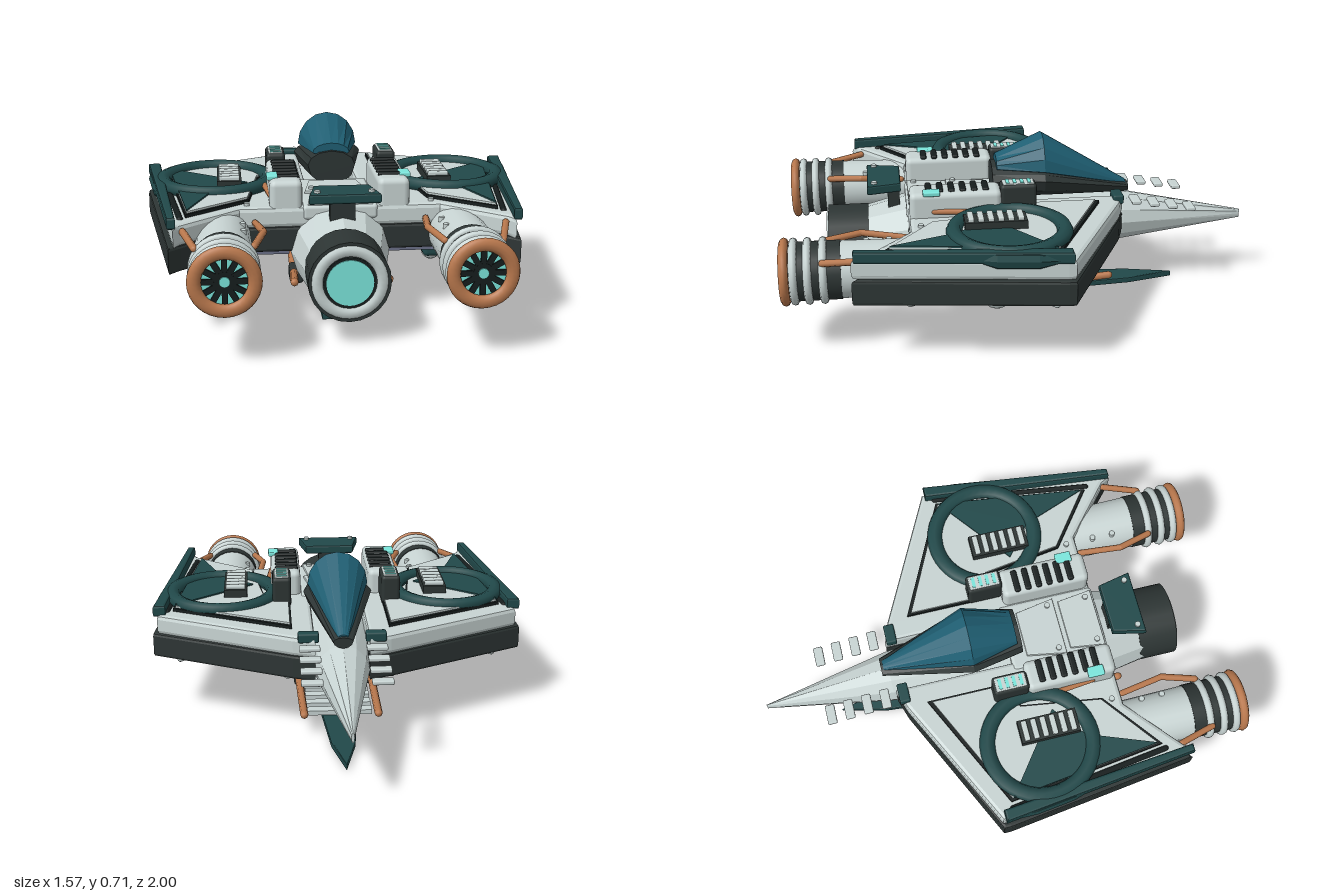
import * as THREE from 'three';
import { RoundedBoxGeometry } from 'three/addons/geometries/RoundedBoxGeometry.js';

const mat = (name, color) => {
  const m = new THREE.MeshStandardMaterial({ color });
  m.name = name;
  return m;
};

export function createModel() {
  const root = new THREE.Group();
  root.name = 'spacecraft';
  const light = mat('light grey hull', 0xc8d4d3), dark = mat('charcoal', 0x2d3534);
  const black = mat('black trim', 0x161d1d), teal = mat('dark teal', 0x21494a);
  const glass = mat('blue canopy', 0x1f5f73), copper = mat('copper', 0xb9784d);
  const cyan = mat('cyan glow', 0x7be6dc), slate = mat('slate underside', 0x6a7088);

  const add = (name, geo, m, x = 0, y = 0, z = 0) => {
    const mesh = new THREE.Mesh(geo, m);
    mesh.name = name;
    mesh.position.set(x, y, z);
    root.add(mesh);
    return mesh;
  };
  const box = (name, m, w, h, d, x, y, z) => add(name, new THREE.BoxGeometry(w, h, d), m, x, y, z);
  const rbox = (name, m, w, h, d, x, y, z, r = 0.015) =>
    add(name, new RoundedBoxGeometry(w, h, d, 2, r), m, x, y, z);
  const bolt = (x, y, z) => add('bolt', new THREE.CylinderGeometry(0.012, 0.012, 0.02, 10), light, x, y, z);
  // cylinder along z, r1 at the +z end
  const cyl = (name, m, r1, r0, z0, z1, x, y, n = 24) =>
    add(name, new THREE.CylinderGeometry(r1, r0, z1 - z0, n).rotateX(Math.PI / 2), m, x, y, (z0 + z1) / 2);
  // round bar through a list of points
  const rod = (name, m, r, pts) => {
    for (let i = 0; i + 1 < pts.length; i++) {
      const a = new THREE.Vector3(...pts[i]), b = new THREE.Vector3(...pts[i + 1]);
      const d = b.clone().sub(a), len = d.length();
      const mesh = add(name, new THREE.CapsuleGeometry(r, len, 3, 8), m);
      mesh.position.copy(a).add(b).multiplyScalar(0.5);
      mesh.quaternion.setFromUnitVectors(new THREE.Vector3(0, 1, 0), d.normalize());
    }
  };
  // horizontal plate from an [x, z] outline, between heights y0 and y1
  const plate = (name, m, pts, y0, y1, s = 1, bevel = 0) => {
    const shape = new THREE.Shape(pts.map(([x, z]) => new THREE.Vector2(x * s, -z)));
    const geo = new THREE.ExtrudeGeometry(shape, {
      depth: y1 - y0 - 2 * bevel, bevelEnabled: bevel > 0,
      bevelSize: bevel, bevelOffset: -bevel, bevelThickness: bevel, bevelSegments: 2
    });
    return add(name, geo.rotateX(-Math.PI / 2), m, 0, y0 + bevel, 0);
  };
  // faceted body through sections [z, centreY, halfWidth, up, down]
  const loft = (name, m, secs, n = 12) => {
    const pos = [], idx = [];
    for (const [z, cy, rx, up, dn] of secs)
      for (let j = 0; j < n; j++) {
        const a = (j / n) * Math.PI * 2, s = Math.sin(a);
        pos.push(Math.cos(a) * rx, cy + s * (s > 0 ? up : dn), z);
      }
    for (let i = 0; i + 1 < secs.length; i++)
      for (let j = 0; j < n; j++) {
        const a = i * n + j, b = i * n + (j + 1) % n;
        idx.push(a, b, b + n, a, b + n, a + n);
      }
    const e = (secs.length - 1) * n;
    for (let j = 1; j + 1 < n; j++) idx.push(0, j + 1, j, e, e + j, e + j + 1);
    const g = new THREE.BufferGeometry();
    g.setAttribute('position', new THREE.Float32BufferAttribute(pos, 3));
    g.setIndex(idx);
    const flat = g.toNonIndexed();
    flat.computeVertexNormals();
    return add(name, flat, m);
  };

  // fuselage, from nose tip to tail
  loft('fuselage', light, [[-1, 0.295, 0.006, 0.02, 0.02], [-0.45, 0.32, 0.11, 0.11, 0.11],
    [0.1, 0.3, 0.17, 0.155, 0.16], [0.47, 0.27, 0.2, 0.185, 0.175], [0.7, 0.255, 0.152, 0.14, 0.175]]);

  // main thruster
  cyl('thrusterCollar', dark, 0.158, 0.158, 0.65, 0.82, 0, 0.255);
  add('thrusterRing', new THREE.TorusGeometry(0.124, 0.03, 10, 32), light, 0, 0.255, 0.8);
  cyl('thrusterTrim', black, 0.1, 0.1, 0.8, 0.823, 0, 0.255, 32);
  cyl('thrusterGlow', cyan, 0.09, 0.09, 0.8, 0.827, 0, 0.255, 32);

  // cockpit
  loft('cockpitBase', dark, [[-0.48, 0.46, 0.04, 0.015, 0.03], [-0.1, 0.54, 0.145, 0.045, 0.1],
    [0.12, 0.53, 0.1, 0.06, 0.09]]);
  loft('canopy', glass, [[-0.47, 0.472, 0.022, 0.012, 0.008], [-0.1, 0.575, 0.127, 0.138, 0.01],
    [0.1, 0.58, 0.078, 0.04, 0.01]], 16);

  // spine deck panels with bolts
  rbox('spineDeck', light, 0.3, 0.06, 0.42, 0, 0.43, 0.28);
  for (const [z0, z1, w0, w1] of [[0.14, 0.31, 0.1, 0.13], [0.33, 0.48, 0.11, 0.13]]) {
    plate('spinePanel', light, [[-w0, z0], [w0, z0], [w1, z1], [-w1, z1]], 0.45, 0.472, 1, 0.005);
    for (const s of [-1, 1]) bolt(s * 0.1, 0.472, z1 - 0.03);
  }
  plate('tailFlap', teal, [[-0.11, 0.51], [0.11, 0.51], [0.14, 0.65], [-0.14, 0.65]], 0.51, 0.55, 1, 0.008);
  box('tailFlapMount', dark, 0.1, 0.1, 0.05, 0, 0.465, 0.54);

  // landing ski, belly pod and strut
  plate('ski', teal, [[0, -0.7], [0.05, -0.5], [0.08, -0.15], [0.08, 0.55], [-0.08, 0.55],
    [-0.08, -0.15], [-0.05, -0.5]], 0, 0.025, 1, 0.005);
  rbox('bellyPod', dark, 0.1, 0.08, 0.46, 0, 0.06, 0.32);
  rbox('skiStrut', dark, 0.06, 0.2, 0.09, 0, 0.11, -0.175);
  for (let i = 0; i < 5; i++) box('skiRung', light, 0.28, 0.02, 0.045, 0, 0.04, -0.23 + i * 0.08);

  const wing = [[0.11, -0.44], [0.2, -0.41], [0.785, -0.13], [0.785, -0.1], [0.675, 0.72], [0.63, 0.68],
    [0.4, 0.485], [0.11, 0.485]];
  const inner = [[0.2, -0.32], [0.7, -0.08], [0.61, 0.59], [0.36, 0.4], [0.31, 0.06], [0.2, 0.0]];
  const inset = [[0.208, -0.3], [0.69, -0.072], [0.605, 0.572], [0.366, 0.392], [0.316, 0.055], [0.208, -0.005]];
  const under = [[0.2, -0.3], [0.68, -0.08], [0.6, 0.55], [0.38, 0.42], [0.2, 0.42]];

  for (const s of [-1, 1]) {
    // wing layers
    plate('wingEdge', dark, wing, 0.27, 0.375, s, 0.012);
    plate('wingTop', light, wing.map(([x, z]) => [x - 0.02 * (x > 0.65), z]), 0.37, 0.455, s, 0.018);
    plate('wingInlayTrim', black, inner, 0.45, 0.468, s);
    plate('wingInlay', light, inset, 0.46, 0.476, s);
    plate('wingAccent', teal, [[0.69, -0.07], [0.36, 0.18], [0.5, 0.29], [0.605, 0.57]], 0.47, 0.482, s);
    plate('wingUnderside', slate, under, 0.24, 0.275, s);
    for (const [x, z] of [[0.68, -0.07], [0.6, 0.5], [0.22, -0.28]])
      rod('underPipe', light, 0.013, [[s * 0.43, 0.23, 0.14], [s * x, 0.23, z]]);
    rod('wingTipRailTrim', black, 0.013, [[s * 0.725, 0.452, -0.08], [s * 0.63, 0.452, 0.6]]);
    plate('wingTipRail', teal, [[0.73, -0.12], [0.782, -0.12], [0.678, 0.71], [0.645, 0.71]], 0.445, 0.495, s, 0.01);
    const brace = loft('wingTipBrace', teal, [[-0.16, 0.46, 0.012, 0.015, 0.01], [-0.06, 0.46, 0.026, 0.035, 0.04],
      [0.1, 0.46, 0.026, 0.035, 0.04], [0.18, 0.46, 0.012, 0.015, 0.01]], 8);
    brace.position.set(s * 0.742, 0, 0.07);
    brace.rotation.y = -s * 0.13;
    bolt(s * 0.37, 0.456, 0.44);
    bolt(s * 0.105, 0.55, 0.62);

    // lift ring and vent stack
    add('liftRing', new THREE.TorusGeometry(0.22, 0.033, 8, 40).rotateX(Math.PI / 2).scale(1, 0.85, 1), teal, s * 0.49, 0.475, 0.095);
    box('ventBase', dark, 0.1, 0.045, 0.25, s * 0.435, 0.487, 0.145);
    for (let i = 0; i < 6; i++) rbox('ventSlat', light, 0.085, 0.02, 0.024, s * 0.435, 0.515, 0.045 + i * 0.04, 0.006);

    // shoulder pods with ribs and lamps
    rbox('shoulderPod', light, 0.13, 0.14, 0.38, s * 0.215, 0.49, 0.29, 0.025);
    for (let i = 0; i < 6; i++) rbox('podRib', black, 0.1, 0.025, 0.026, s * 0.21, 0.556, 0.165 + i * 0.047, 0.008);
    rbox('sensorBox', dark, 0.08, 0.13, 0.15, s * 0.235, 0.515, 0.03);
    rbox('sensorCap', light, 0.06, 0.01, 0.13, s * 0.235, 0.578, 0.03, 0.004);
    for (let i = 0; i < 4; i++) box('sensorLight', cyan, 0.045, 0.006, 0.014, s * 0.235, 0.583, -0.015 + i * 0.03);
    rbox('podLamp', cyan, 0.045, 0.02, 0.07, s * 0.267, 0.56, 0.39, 0.006);
    rod('podPipe', copper, 0.012, [[s * 0.285, 0.48, 0.08], [s * 0.295, 0.48, 0.2], [s * 0.275, 0.48, 0.38]]);

    // nose vanes
    for (let i = 0; i < 4; i++)
      rbox('noseVane', light, 0.085, 0.018, 0.04, s * 0.135, 0.395 + i * 0.014, -0.73 + i * 0.08, 0.006);
    rbox('noseBlock', teal, 0.085, 0.04, 0.045, s * 0.137, 0.455, -0.41, 0.008);

    // wing engines
    const ex = s * 0.468, ey = 0.333;
    cyl('engineBody', light, 0.115, 0.11, 0.4, 0.77, ex, ey);
    cyl('engineCore', dark, 0.118, 0.118, 0.76, 0.96, ex, ey);
    for (const z of [0.83, 0.89, 0.945])
      add('engineRing', new THREE.TorusGeometry(0.118, 0.016, 8, 32), light, ex, ey, z);
    add('engineNozzle', new THREE.TorusGeometry(0.11, 0.026, 10, 32).scale(1, 1, 0.75), copper, ex, ey, 0.981);
    cyl('engineGlow', cyan, 0.088, 0.088, 0.95, 0.972, ex, ey, 32);
    for (let i = 0; i < 12; i++) {
      const a = (i / 12) * Math.PI * 2;
      box('fanBlade', black, 0.062, 0.022, 0.012, ex + Math.cos(a) * 0.056, ey + Math.sin(a) * 0.056, 0.974).rotation.z = a;
    }
    cyl('fanHubTrim', black, 0.038, 0.038, 0.96, 0.981, ex, ey, 20);
    cyl('fanHub', cyan, 0.02, 0.02, 0.97, 0.986, ex, ey, 16);
    rod('engineInnerPipe', copper, 0.014, [[s * 0.34, 0.4, 0.5], [s * 0.315, 0.42, 0.68], [s * 0.355, 0.41, 0.82]]);
    rod('engineOuterPipe', copper, 0.014, [[s * 0.62, 0.43, 0.68], [s * 0.575, 0.41, 0.83]]);
    for (const z of [0.57, 0.66]) bolt(s * 0.39, 0.415, z);

    // underslung turrets
    rbox('turretMount', teal, 0.11, 0.085, 0.28, s * 0.43, 0.2, 0.14, 0.02);
    add('turretNose', new THREE.SphereGeometry(0.04, 12, 8).scale(1, 1, 1.3), light, s * 0.43, 0.145, 0.14);

    // belly struts
    rod('bellyStrut', copper, 0.017, [[s * 0.19, 0.165, 0.55], [s * 0.165, 0.06, 0.13], [s * 0.155, 0.095, -0.38]]);
    rbox('strutJoint', dark, 0.06, 0.07, 0.1, s * 0.155, 0.055, 0.13);
  }
  return root;
}
